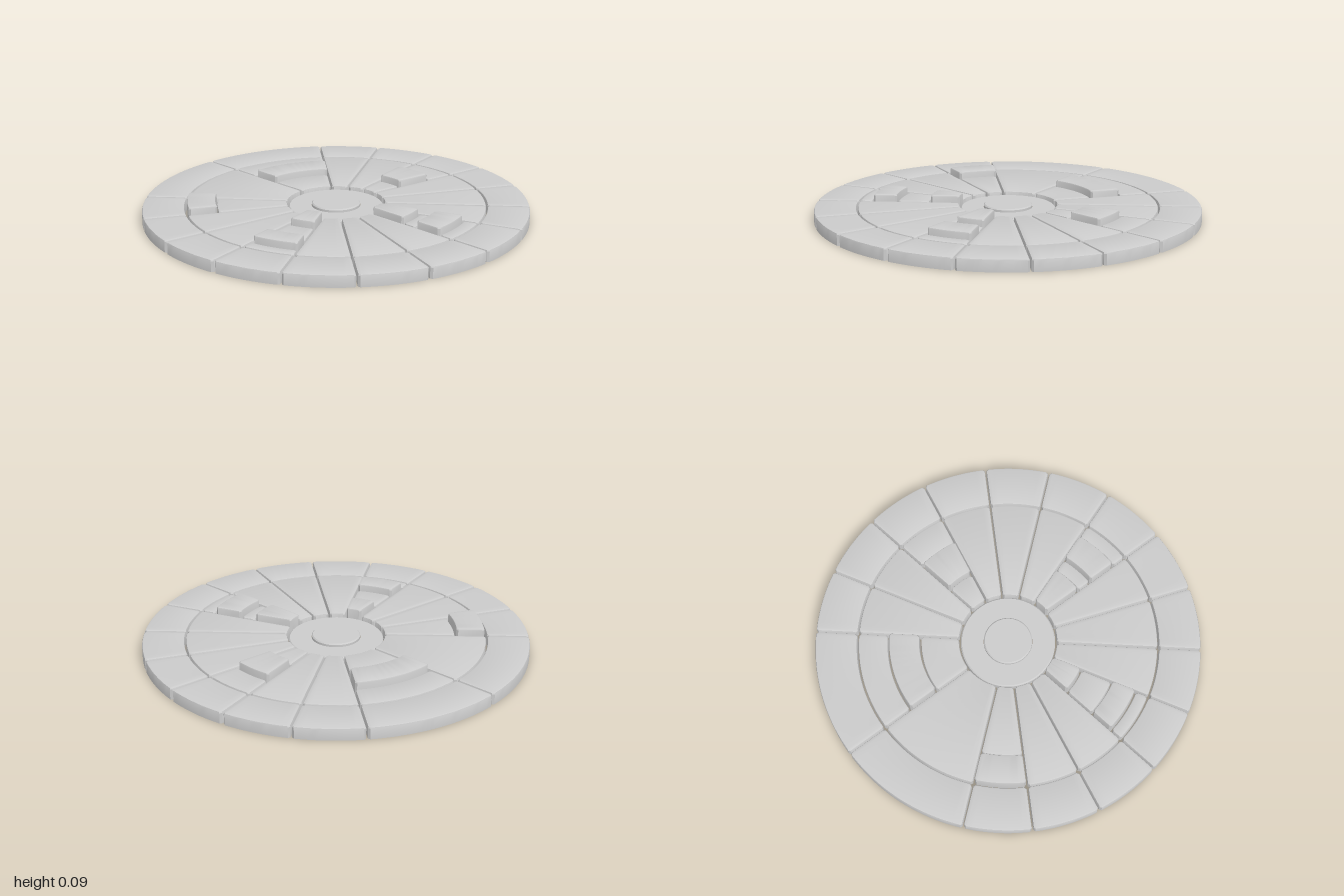
import * as THREE from 'three';
import { toCreasedNormals } from 'three/addons/utils/BufferGeometryUtils.js';

const material = new THREE.MeshStandardMaterial({ color: 0xcccccc, side: THREE.DoubleSide });
const GAP = 0.004, BEVEL = 0.008, CORNER = 0.01;
const HUB = 0.25, RING = 0.78, EDGE = 1.004;
const LOW = 0.062, HIGH = 0.095;

// Closed outline of a ring sector (degrees), inset by d, with clipped corners
function outline(a0, a1, r0, r1, d) {
  const n = Math.round((a1 - a0) / 2);
  const rad = THREE.MathUtils.degToRad;
  const arc = (r, s) => {
    const from = rad(a0) + d / r, to = rad(a1) - d / r, c = CORNER / r;
    const pts = [[r - s * CORNER, from]];
    for (let i = 0; i <= n; i++) pts.push([r, from + c + (to - from - 2 * c) * i / n]);
    pts.push([r - s * CORNER, to]);
    return pts;
  };
  return [...arc(r1 - d, 1), ...arc(r0 + d, -1).reverse()]
    .map(([r, a]) => [r * Math.cos(a), -r * Math.sin(a)]);
}

// Hollow bevelled tile, open underneath
function tile(name, a0, a1, r0, r1, h) {
  const levels = [[GAP, 0], [GAP, h - BEVEL], [GAP + BEVEL * 0.3, h - BEVEL * 0.3], [GAP + BEVEL, h]];
  const pos = [], idx = [];
  let m = 0;
  for (const [d, y] of levels) {
    const loop = outline(a0, a1, r0, r1, d);
    m = loop.length;
    for (const [x, z] of loop) pos.push(x, y, z);
  }
  for (let l = 0; l < levels.length - 1; l++) {
    for (let i = 0; i < m; i++) {
      const a = l * m + i, b = l * m + (i + 1) % m;
      idx.push(a, b, b + m, a, b + m, a + m);
    }
  }
  // top face joins the outer arc to the inner arc
  const top = (levels.length - 1) * m;
  for (let i = 0; i < m / 2 - 1; i++) {
    const o = top + i, q = top + m - 1 - i;
    idx.push(o, o + 1, q - 1, o, q - 1, q);
  }
  const geo = new THREE.BufferGeometry();
  geo.setAttribute('position', new THREE.Float32BufferAttribute(pos, 3));
  geo.setIndex(idx);
  const mesh = new THREE.Mesh(toCreasedNormals(geo, 0.5), material);
  mesh.name = name;
  return mesh;
}

function turned(name, profile) {
  const geo = new THREE.LatheGeometry(profile.map(([x, y]) => new THREE.Vector2(x, y)), 72);
  const mesh = new THREE.Mesh(toCreasedNormals(geo, 0.5), material);
  mesh.name = name;
  return mesh;
}

export function createModel() {
  const model = new THREE.Group();
  model.name = 'segmentedDisc';

  // Sectors start every 20 degrees; two of them are double width
  const doubles = [90, 130];
  // Raised blocks by sector start angle: [inner radius, outer radius]
  const raised = {
    30: [[0.42, 0.62]],
    90: [[0.455, 0.62]],
    170: [[0.62, 0.774]],
    230: [[HUB, 0.41], [0.58, 0.71]],
    310: [[HUB, 0.465], [0.545, 0.7]],
  };

  for (let a = 10; a < 370;) {
    const end = a + (doubles.includes(a) ? 40 : 20);
    const sector = new THREE.Group();
    sector.name = 'sector';
    sector.add(tile('outerPanel', a, end, RING, EDGE, LOW));
    // inner ring: flat panels fill the space between raised blocks
    let r = HUB;
    for (const [r0, r1] of raised[a] ?? []) {
      if (r0 - r > 0.03) sector.add(tile('innerPanel', a, end, r, r0, LOW));
      sector.add(tile('raisedBlock', a, end, r0, r1, HIGH));
      r = r1;
    }
    if (RING - r > 0.03) sector.add(tile('innerPanel', a, end, r, RING, LOW));
    model.add(sector);
    a = end;
  }

  // Centre: slightly sunken collar around a flat button
  model.add(turned('hubCollar', [[0.246, 0], [0.246, 0.039], [0.24, 0.045], [0.127, 0.045]]));
  model.add(turned('hubButton', [[0.126, 0], [0.126, 0.056], [0.12, LOW], [0, LOW]]));
  return model;
}
